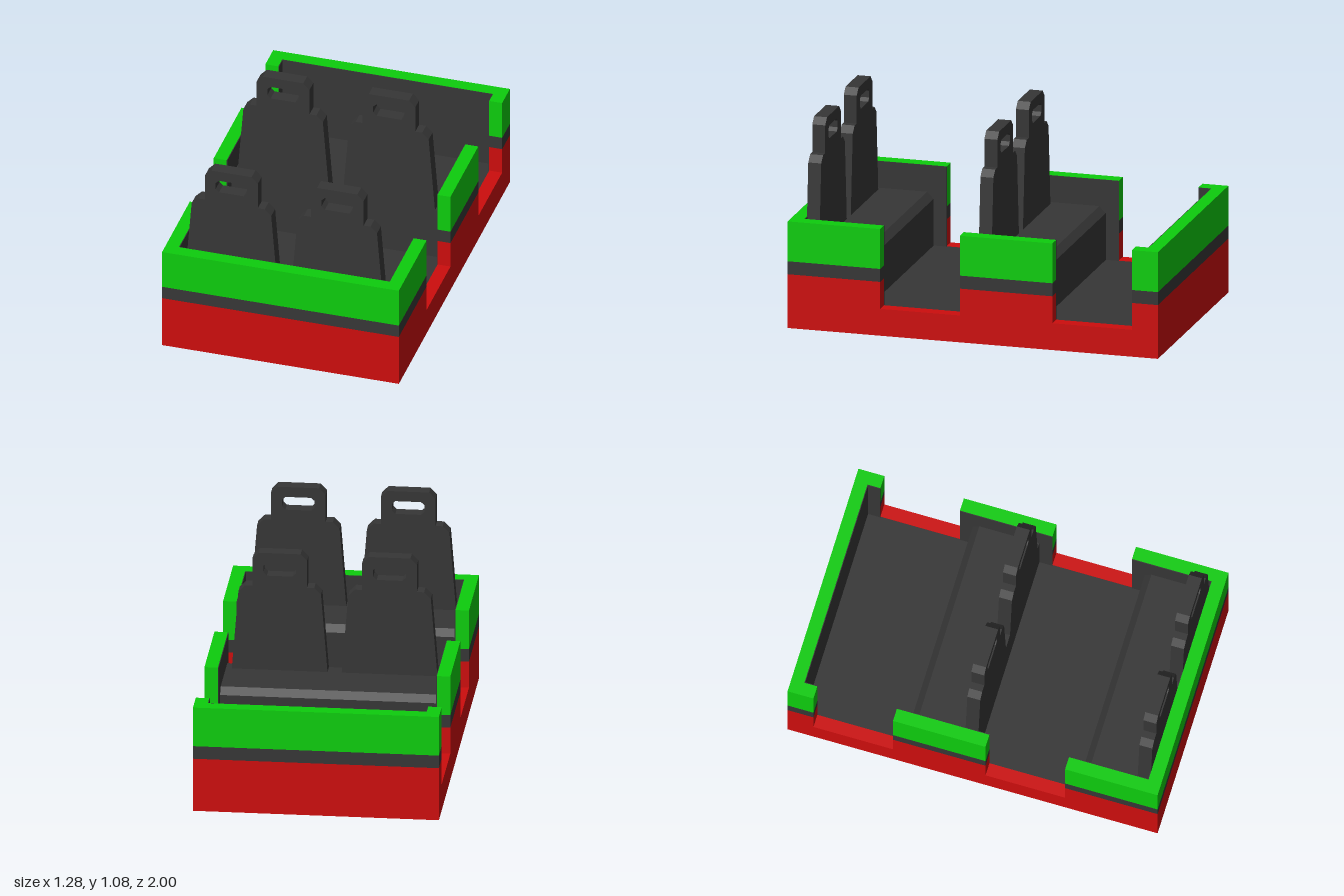
import * as THREE from 'three';

const W = 0.64, L = 1, T = 0.07;      // half width, half length, wall thickness
const IX = W - T, IZ = L - T;         // inner half sizes
const SILL = 0.145, TOP = 0.575, BENCH = 0.43;

export function createModel() {
  const red = new THREE.MeshStandardMaterial({ name: 'red', color: 0xcc0d0d });
  const green = new THREE.MeshStandardMaterial({ name: 'green', color: 0x0dcc0d });
  const dark = new THREE.MeshStandardMaterial({ name: 'darkGrey', color: 0x363636 });
  const model = new THREE.Group();
  model.name = 'openCar';

  // Box given by its minimum and maximum corners
  const box = (name, mat, x0, x1, y0, y1, z0, z1) => {
    const mesh = new THREE.Mesh(new THREE.BoxGeometry(x1 - x0, y1 - y0, z1 - z0), mat);
    mesh.position.set((x0 + x1) / 2, (y0 + y1) / 2, (z0 + z1) / 2);
    mesh.name = name;
    model.add(mesh);
  };
  const shapeOf = pts => new THREE.Shape(pts.map(p => new THREE.Vector2(...p)));

  // Floor
  box('floor', dark, -IX, IX, 0, SILL - 0.002, -IZ, IZ);

  // Colour bands of the walls, bottom to top
  const bands = [
    ['lowerWall', red, 0, 0.29],
    ['stripe', dark, 0.29, 0.36],
    ['upperWall', green, 0.36, TOP],
  ];
  // Side wall pieces between the doorways
  const pieces = [[-IZ, -0.86], [-0.43, 0.07], [0.5, IZ]];
  const P = 0.004; // lining thickness

  for (const s of [-1, 1]) {
    const span = (a, b) => (s > 0 ? [a, b] : [-b, -a]);
    const side = span(IX, W), sideLining = span(IX - P, IX);

    // End walls
    for (const [name, mat, y0, y1] of bands) box(name, mat, -W, W, y0, y1, ...span(IZ, L));
    box('endLining', dark, -IX, IX, SILL - 0.01, TOP - 0.001, ...span(IZ - P, IZ));

    // Door sills and side walls
    box('sill', red, ...side, 0, SILL, -IZ, IZ);
    for (const [z0, z1] of pieces) {
      for (const [name, mat, y0, y1] of bands) box(name, mat, ...side, Math.max(y0, SILL), y1, z0, z1);
      box('sideLining', dark, ...sideLining, SILL - 0.01, TOP - 0.001, z0, z1);
    }
  }

  // Bench: chamfered cross-section (-z, y) extruded across the car
  const benchGeo = new THREE.ExtrudeGeometry(
    shapeOf([[0, 0.1], [0.36, 0.1], [0.36, BENCH - 0.035], [0.325, BENCH], [0, BENCH]]),
    { depth: IX * 2, bevelEnabled: false });
  benchGeo.translate(0, 0, -IX).rotateY(Math.PI / 2);

  // Seat back: tapered body with a chamfered headrest and its hole
  const half = [[0.25, BENCH - 0.01], [0.215, 0.86], [0.18, 0.895], [0.1425, 0.895], [0.1425, 1.045], [0.109, 1.08]];
  const seatShape = shapeOf([...half, ...half.map(([x, y]) => [-x, y]).reverse()]);
  const hole = [[0.085, 0.972], [0.085, 1.008], [0.067, 1.025]];
  const lower = [[0.067, 0.954]];
  const holePts = [...lower, ...hole, ...[...lower, ...hole].map(([x, y]) => [-x, y]).reverse()];
  seatShape.holes.push(new THREE.Path(holePts.map(p => new THREE.Vector2(...p))));
  const seatGeo = new THREE.ExtrudeGeometry(seatShape, { depth: T, bevelEnabled: false });

  // Two rows, each a bench with a pair of seat backs
  for (const z of [0, IZ]) {
    const bench = new THREE.Mesh(benchGeo, dark);
    bench.name = 'bench';
    bench.position.z = z;
    model.add(bench);
    for (const s of [-1, 1]) {
      const seat = new THREE.Mesh(seatGeo, dark);
      seat.name = 'seatBack';
      seat.position.set(s * 0.286, 0, z - T);
      model.add(seat);
    }
  }
  return model;
}
